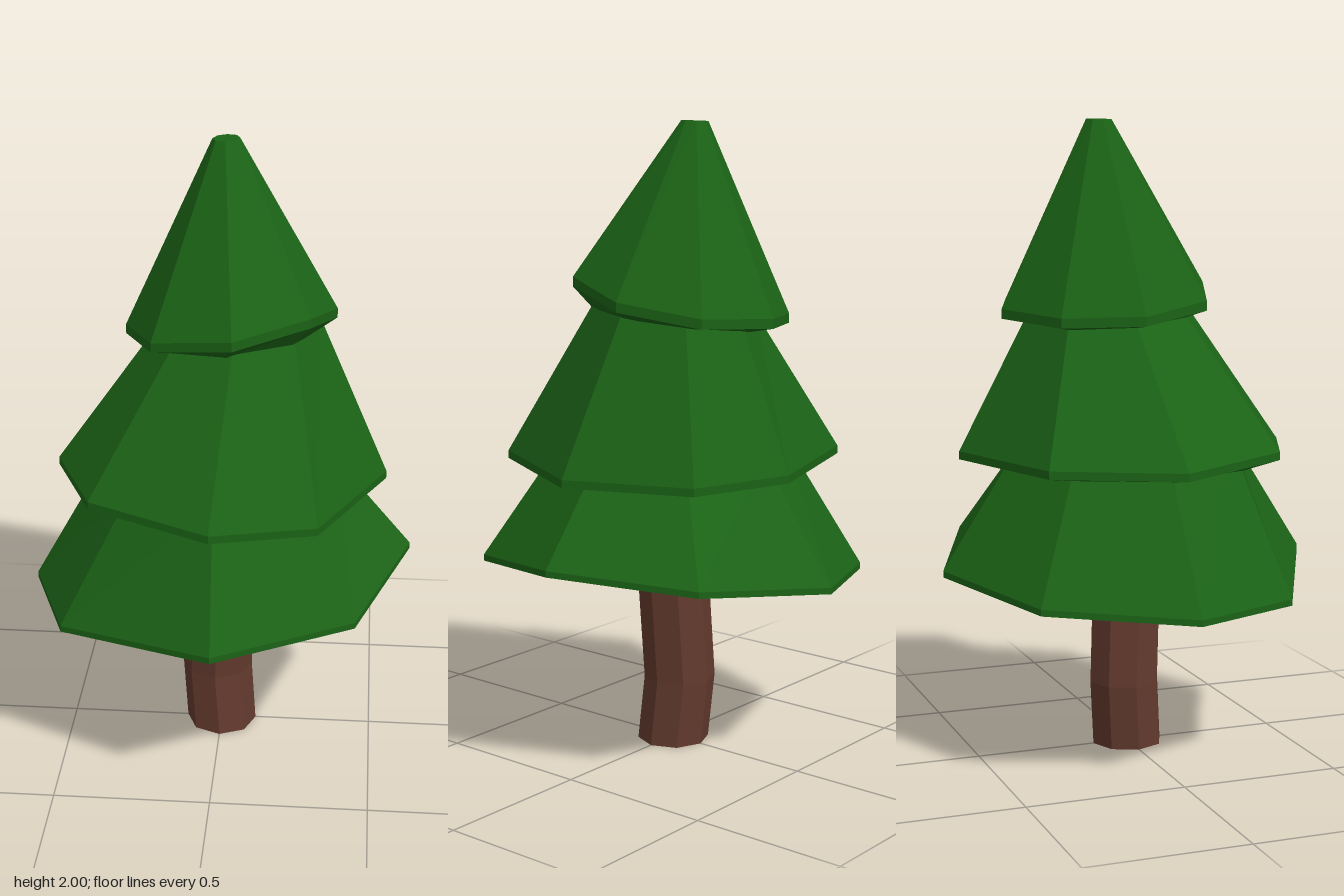
import * as THREE from 'three';

const SIDES = 8;

// Regular ring, starting at the back (-z) and going round by way of +x.
// tiltX and tiltZ slope the ring's plane.
function ring(r, y, cx = 0, cz = 0, tiltX = 0, tiltZ = 0) {
  return Array.from({ length: SIDES }, (_, i) => {
    const t = (i / SIDES) * Math.PI * 2;
    const dx = r * Math.sin(t), dz = -r * Math.cos(t);
    return [cx + dx, y + dx * tiltX + dz * tiltZ, cz + dz];
  });
}

const lower = (points, d) => points.map(([x, y, z]) => [x, y - d, z]);

function centre(points) {
  return [0, 1, 2].map(k => points.reduce((s, p) => s + p[k], 0) / points.length);
}

// Closed faceted solid through rings listed from bottom to top.
function loft(name, rings, material) {
  const pos = [];
  const tri = (...corners) => corners.forEach(c => pos.push(...c));
  const first = rings[0], last = rings[rings.length - 1];
  const bottom = centre(first), top = centre(last);
  for (let i = 0; i < SIDES; i++) {
    const j = (i + 1) % SIDES;
    tri(bottom, first[i], first[j]);
    for (let k = 0; k < rings.length - 1; k++) {
      const a = rings[k], b = rings[k + 1];
      tri(a[j], a[i], b[i]);
      tri(a[j], b[i], b[j]);
    }
    tri(last[j], last[i], top);
  }
  const geometry = new THREE.BufferGeometry();
  geometry.setAttribute('position', new THREE.Float32BufferAttribute(pos, 3));
  geometry.computeVertexNormals();
  const mesh = new THREE.Mesh(geometry, material);
  mesh.name = name;
  return mesh;
}

export function createModel() {
  const group = new THREE.Group();
  group.name = 'pineTree';
  const bark = new THREE.MeshStandardMaterial({ color: 0x633a2e, flatShading: true });
  const needles = new THREE.MeshStandardMaterial({ color: 0x1b6316, flatShading: true });

  // Trunk with a slight kink
  group.add(loft('trunk', [
    ring(0.115, 0),
    ring(0.115, 0.21, -0.015, -0.015),
    ring(0.115, 0.56),
  ], bark));

  // Uneven rims of the three tiers: x, y, z per corner
  const lowRim = [
    [-0.01, 0.61, -0.61], [0.42, 0.66, -0.44], [0.61, 0.69, -0.01], [0.44, 0.635, 0.42],
    [0.01, 0.605, 0.61], [-0.48, 0.545, 0.36], [-0.61, 0.54, 0.01], [-0.44, 0.57, -0.43],
  ];
  const midRim = [
    [0.10, 0.965, -0.525], [0.37, 0.95, -0.38], [0.525, 0.95, 0], [0.32, 0.955, 0.42],
    [0, 0.97, 0.525], [-0.38, 0.985, 0.36], [-0.525, 0.96, 0], [-0.37, 0.965, -0.38],
  ];
  const topRim = [
    [0.02, 1.415, -0.405], [0.26, 1.43, -0.32], [0.355, 1.47, -0.07], [0.28, 1.525, 0.17],
    [0.05, 1.485, 0.28], [-0.20, 1.44, 0.19], [-0.305, 1.405, -0.05], [-0.22, 1.40, -0.29],
  ];

  // Foliage: underside, thin lip, sloping sides
  group.add(loft('lowerFoliage', [
    ring(0.12, 0.525), lower(lowRim, 0.02), lowRim, ring(0.36, 0.99),
  ], needles));
  group.add(loft('middleFoliage', [
    ring(0.40, 0.917), lower(midRim, 0.025), midRim, ring(0.25, 1.43, 0.05, -0.055, 0.08, 0.08),
  ], needles));
  group.add(loft('upperFoliage', [
    ring(0.27, 1.39, 0.03, -0.055, 0.085, 0.075), lower(topRim, 0.03), topRim, ring(0.042, 1.997, 0.006, -0.09, 0.05, 0),
  ], needles));

  return group;
}
